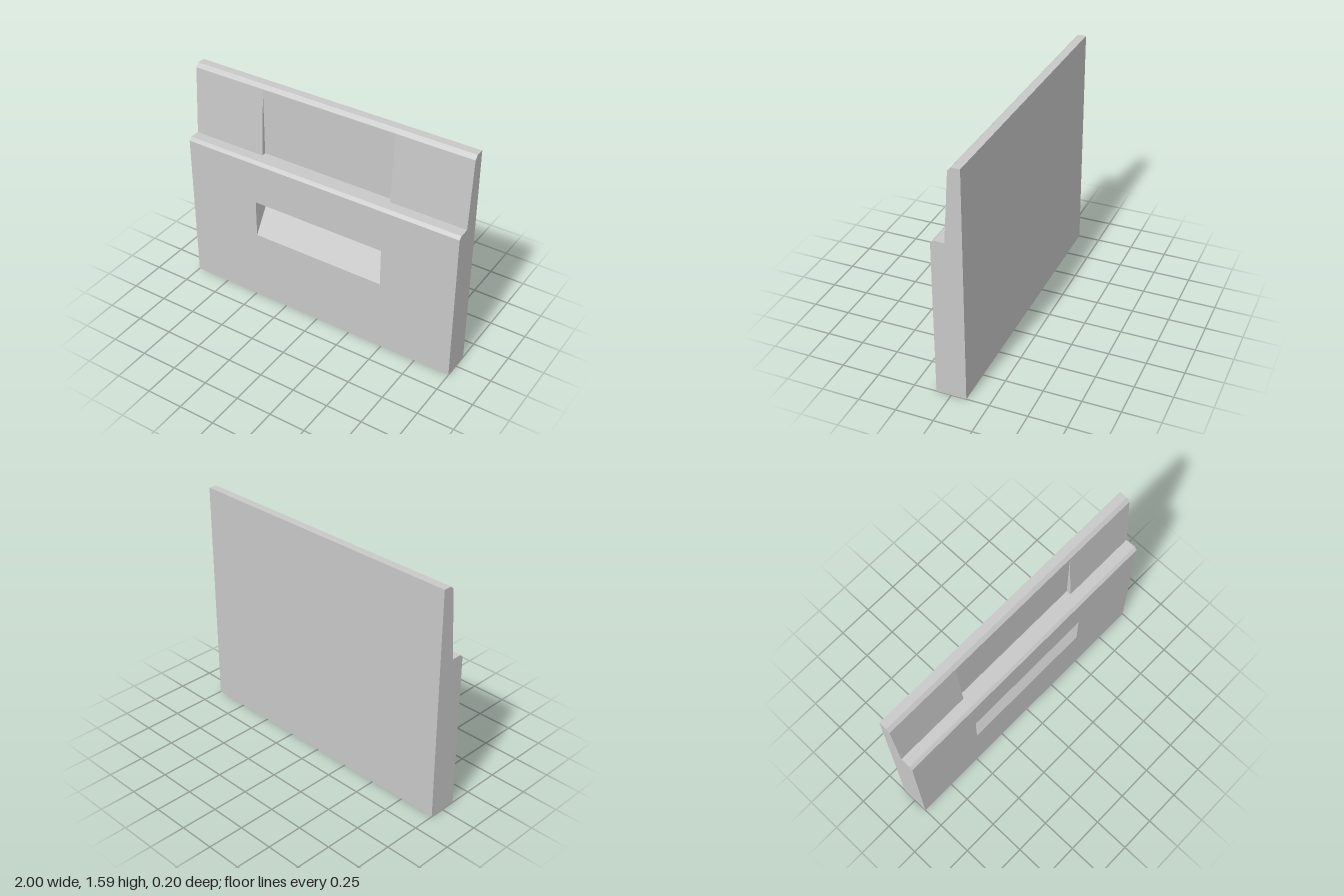
import * as THREE from 'three';

const INNER = 0.476; // half width of the pocket and the upper recess

// Sections as [z, y], running from the bottom back edge round the front
const sideSection = [
  [-0.1, 0], [0.1, 0], [0.1, 1.07], [0.08, 1.09], [0.01, 1.09],
  [-0.022, 1.56], [-0.045, 1.585], [-0.1, 1.585],
];
const pocket = [[0.1, 0.51], [-0.065, 0.775], [0.1, 0.775]];
const recess = [[0.01, 1.09], [-0.022, 1.56], [-0.022, 1.09]];
const middleSection = [
  ...sideSection.slice(0, 2), ...pocket, ...sideSection.slice(2, 4),
  recess[2], ...sideSection.slice(5),
];

// Sweeps a closed section along x, leaving the ends open
function sweep(section, x0, x1) {
  const v = [];
  section.forEach(([pz, py], i) => {
    const [qz, qy] = section[(i + 1) % section.length];
    v.push(x0, py, pz, x1, py, pz, x1, qy, qz);
    v.push(x0, py, pz, x1, qy, qz, x0, qy, qz);
  });
  const g = new THREE.BufferGeometry();
  g.setAttribute('position', new THREE.Float32BufferAttribute(v, 3));
  g.computeVertexNormals();
  return g;
}

// Flat wall across x, facing +x (dir 1) or -x (dir -1)
function wall(section, x, dir) {
  const shape = new THREE.Shape(section.map(([z, y]) => new THREE.Vector2(-dir * z, y)));
  return new THREE.ShapeGeometry(shape).rotateY(dir * Math.PI / 2).translate(x, 0, 0);
}

export function createModel() {
  const group = new THREE.Group();
  group.name = 'steppedPanel';
  const grey = new THREE.MeshStandardMaterial({ color: 0xc8c8c8 });
  grey.name = 'lightGrey';
  const add = (name, geometry) => {
    const mesh = new THREE.Mesh(geometry, grey);
    mesh.name = name;
    group.add(mesh);
  };

  // Centre with the sloping pocket and the upright recess
  add('middlePanel', sweep(middleSection, -INNER, INNER));

  // Both sides with their ends and the walls beside the cut-outs
  for (const [side, s] of [['left', 1], ['right', -1]]) {
    add(side + 'Panel', sweep(sideSection, s > 0 ? INNER : -1, s > 0 ? 1 : -INNER));
    add(side + 'End', wall(sideSection, s, s));
    add(side + 'PocketWall', wall(pocket, s * INNER, -s));
    add(side + 'RecessWall', wall(recess, s * INNER, -s));
  }
  return group;
}
